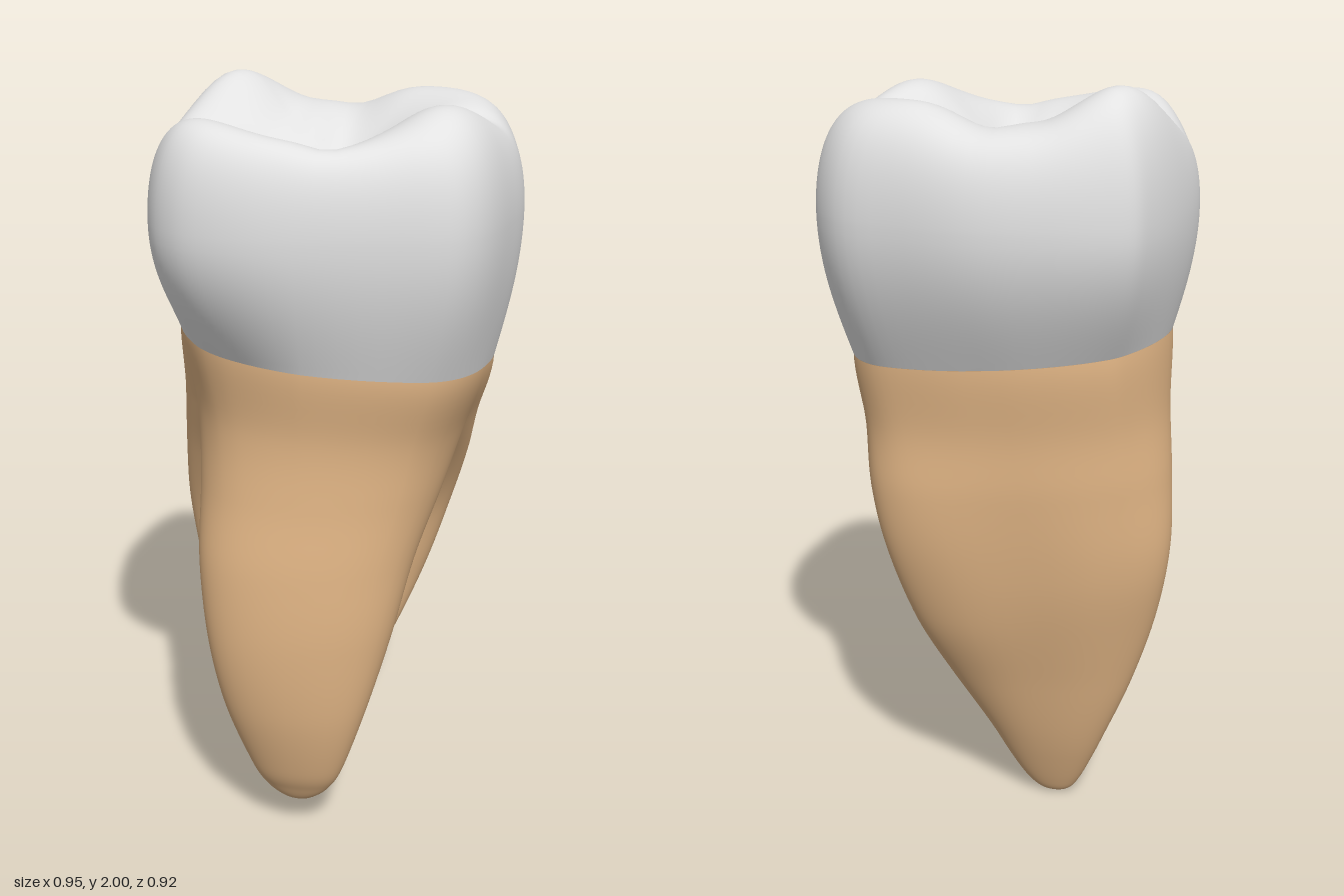
import * as THREE from 'three';

const SEGMENTS = 96;
const lerp = THREE.MathUtils.lerp;
const bump = (d, width) => Math.exp(-(d * d) / (width * width));

// Widest outline of the crown, as (x, z), clockwise seen from above
const outline = new THREE.CatmullRomCurve3([
  [0, -0.46], [0.2, -0.43], [0.34, -0.39], [0.425, -0.295], [0.46, -0.17], [0.472, -0.08],
  [0.46, 0.05], [0.435, 0.2], [0.4, 0.28], [0.35, 0.33], [0.2, 0.385], [0, 0.44],
  [-0.12, 0.455], [-0.23, 0.445], [-0.3, 0.42], [-0.365, 0.365], [-0.42, 0.245], [-0.46, 0.1],
  [-0.475, 0.02], [-0.455, -0.15], [-0.41, -0.3], [-0.38, -0.355], [-0.32, -0.39], [-0.2, -0.43],
].map(([x, z]) => new THREE.Vector3(x, 0, z)), true);
const outlinePoints = Array.from({ length: SEGMENTS }, (_, i) => outline.getPoint(i / SEGMENTS));

// Rounder unit section used at the neck, with the matching ellipse angle
const sections = outlinePoints.map((p) => {
  const ox = p.x / 0.4725, oz = p.z / 0.4575;
  const angle = Math.atan2(ox, -oz);
  const sin = Math.sin(angle), cos = -Math.cos(angle);
  const corner = 0.09 * Math.max(0, -sin * cos);
  return { sin, cos, neckX: lerp(ox, sin, 0.55) + corner, neckZ: lerp(oz, cos, 0.55) - corner };
});

// Neck: where crown and roots meet, on a slightly tilted line
const NECK = 1.335;
const neckTilt = (x, z) => -0.08 * x + 0.03 * z;
const neckRing = sections.map(({ neckX, neckZ }) => {
  const x = -0.005 + neckX * 0.415, z = 0.01 + neckZ * 0.35;
  return new THREE.Vector3(x, NECK + neckTilt(x, z), z);
});

// Skin a list of closed rings, ordered from bottom to top
function loft(rings) {
  const positions = [], index = [];
  rings.forEach((ring) => ring.forEach((p) => positions.push(p.x, p.y, p.z)));
  for (let j = 0; j < rings.length - 1; j++) {
    for (let i = 0; i < SEGMENTS; i++) {
      const k = (i + 1) % SEGMENTS;
      const a = j * SEGMENTS + i, b = j * SEGMENTS + k;
      const c = a + SEGMENTS, d = b + SEGMENTS;
      index.push(a, c, b, b, c, d);
    }
  }
  const geometry = new THREE.BufferGeometry();
  geometry.setAttribute('position', new THREE.Float32BufferAttribute(positions, 3));
  geometry.setIndex(index);
  geometry.computeVertexNormals();
  return geometry;
}

// Cusps and rims: x, z, height, spread
const cusps = [
  [-0.31, -0.2, 0.14, 0.19],
  [0.26, -0.23, 0.09, 0.21],
  [0.1, -0.27, 0.04, 0.13],
  [0.27, 0.13, 0.105, 0.18],
  [-0.28, 0.3, 0.075, 0.18],
  [-0.05, 0.34, 0.025, 0.16],
  [0, 0.05, -0.05, 0.13],
];

// Height of the chewing surface; s is 0 in the middle and 1 at the widest outline
function chewingHeight(x, z, s) {
  let y = 1.81 + 0.13 * s * s;
  for (const [cx, cz, height, spread] of cusps) y += height * bump(Math.hypot(x - cx, z - cz), spread);
  const inside = Math.max(0, 1 - s * s);
  const grooveZ = 0.045 - 0.28 * Math.max(0, x);
  y -= 0.05 * inside * bump(z - grooveZ, 0.05);
  // Groove across the front half, ridge across the back half
  const across = z > grooveZ ? -0.025 * bump(x - 0.05, 0.05) : 0.03 * bump(x + 0.08, 0.06);
  return y + across * inside * Math.min(1, Math.abs(z - grooveZ) / 0.1);
}

function crownGeometry() {
  const BULGE = 1.68, rings = [];
  // Wall from the neck out to the bulge
  for (let j = 0; j < 16; j++) {
    const t = j / 16, out = Math.sin(t * Math.PI / 2);
    rings.push(outlinePoints.map((p, i) => {
      const n = neckRing[i];
      return new THREE.Vector3(lerp(n.x, p.x, out), lerp(n.y, BULGE, t), lerp(n.z, p.z, out));
    }));
  }
  // Shoulder and chewing surface
  for (let j = 0; j <= 60; j++) {
    const s = Math.max(0.001, Math.cos((j / 60) * Math.PI / 2));
    const dome = Math.sqrt(Math.max(0, 1 - s ** 7));
    rings.push(outlinePoints.map((p) => {
      const x = p.x * s, z = p.z * s;
      return new THREE.Vector3(x, BULGE + (chewingHeight(x, z, s) - BULGE) * dome, z);
    }));
  }
  return loft(rings);
}

// Root from rows of [y, minX, maxX, minZ, maxZ]; skew turns the section within its
// bounds, and shallow grooves run down its faces
function rootGeometry(rows, skew, backGroove, frontGroove) {
  const xCurve = new THREE.CatmullRomCurve3(rows.map((r) => new THREE.Vector3(r[0], r[1], r[2])), false, 'catmullrom');
  const zCurve = new THREE.CatmullRomCurve3(rows.map((r) => new THREE.Vector3(r[0], r[3], r[4])), false, 'catmullrom');
  const rings = [], COUNT = 80;
  for (let j = 0; j <= COUNT; j++) {
    const xs = xCurve.getPoint(j / COUNT), zs = zCurve.getPoint(j / COUNT);
    const y = xs.x;
    const blend = THREE.MathUtils.smoothstep(y, 0.75, NECK);
    const low = THREE.MathUtils.smoothstep(y, 0.1, 0.6);
    const fade = (1 - blend) * low;
    const turn = skew * low;
    rings.push(sections.map(({ sin, cos, neckX, neckZ }) => {
      const groove = (cos < 0 ? backGroove : frontGroove) * fade * bump(sin, 0.35);
      const ex = Math.sign(sin) * Math.abs(sin) ** 0.94;
      const ez = Math.sign(cos) * Math.abs(cos) ** 0.94 * (1 - groove);
      const rx = lerp(ex, neckX, blend);
      const rz = lerp(ez * Math.sqrt(1 - turn * turn) - ex * turn, neckZ, blend);
      const x = (xs.y + xs.z) / 2 + (xs.z - xs.y) / 2 * rx;
      const z = (zs.y + zs.z) / 2 + (zs.z - zs.y) / 2 * rz;
      return new THREE.Vector3(x, y + blend * neckTilt(x, z), z);
    }));
  }
  return loft(rings);
}

// Shared top rows; the last one is tucked inside the crown
const neckRows = [
  [NECK, -0.42, 0.41, -0.34, 0.36],
  [1.49, -0.39, 0.38, -0.31, 0.33],
];
const frontRows = [
  [0.09, -0.04, -0.04, 0.28, 0.28],
  [0.105, -0.085, 0.005, 0.255, 0.307],
  [0.145, -0.13, 0.05, 0.243, 0.332],
  [0.22, -0.168, 0.09, 0.23, 0.365],
  [0.4, -0.23, 0.15, 0.195, 0.406],
  [0.6, -0.275, 0.205, 0.125, 0.418],
  [0.8, -0.305, 0.25, 0.025, 0.4],
  [0.98, -0.325, 0.305, -0.12, 0.365],
  [1.15, -0.36, 0.35, -0.25, 0.346],
  ...neckRows,
];
const backRows = [
  [0, -0.14, -0.14, -0.08, -0.08],
  [0.015, -0.185, -0.095, -0.102, -0.057],
  [0.055, -0.215, -0.055, -0.122, -0.046],
  [0.13, -0.25, -0.01, -0.15, -0.04],
  [0.22, -0.288, 0.035, -0.18, -0.037],
  [0.4, -0.36, 0.13, -0.235, -0.035],
  [0.6, -0.42, 0.215, -0.305, -0.03],
  [0.8, -0.452, 0.28, -0.345, -0.015],
  [0.98, -0.445, 0.33, -0.355, 0.08],
  [1.15, -0.427, 0.365, -0.34, 0.22],
  ...neckRows,
];

export function createModel() {
  const enamel = new THREE.MeshStandardMaterial({ color: 0xe2e2e2 });
  enamel.name = 'enamel white';
  const dentine = new THREE.MeshStandardMaterial({ color: 0xdcb182 });
  dentine.name = 'root tan';

  const group = new THREE.Group();
  group.name = 'molar';
  const add = (name, geometry, material) => {
    const mesh = new THREE.Mesh(geometry, material);
    mesh.name = name;
    group.add(mesh);
  };
  add('crown', crownGeometry(), enamel);
  add('frontRoot', rootGeometry(frontRows, 0.25, 0.15, 0), dentine);
  add('backRoot', rootGeometry(backRows, 0.45, 0.1, 0.15), dentine);
  return group;
}
